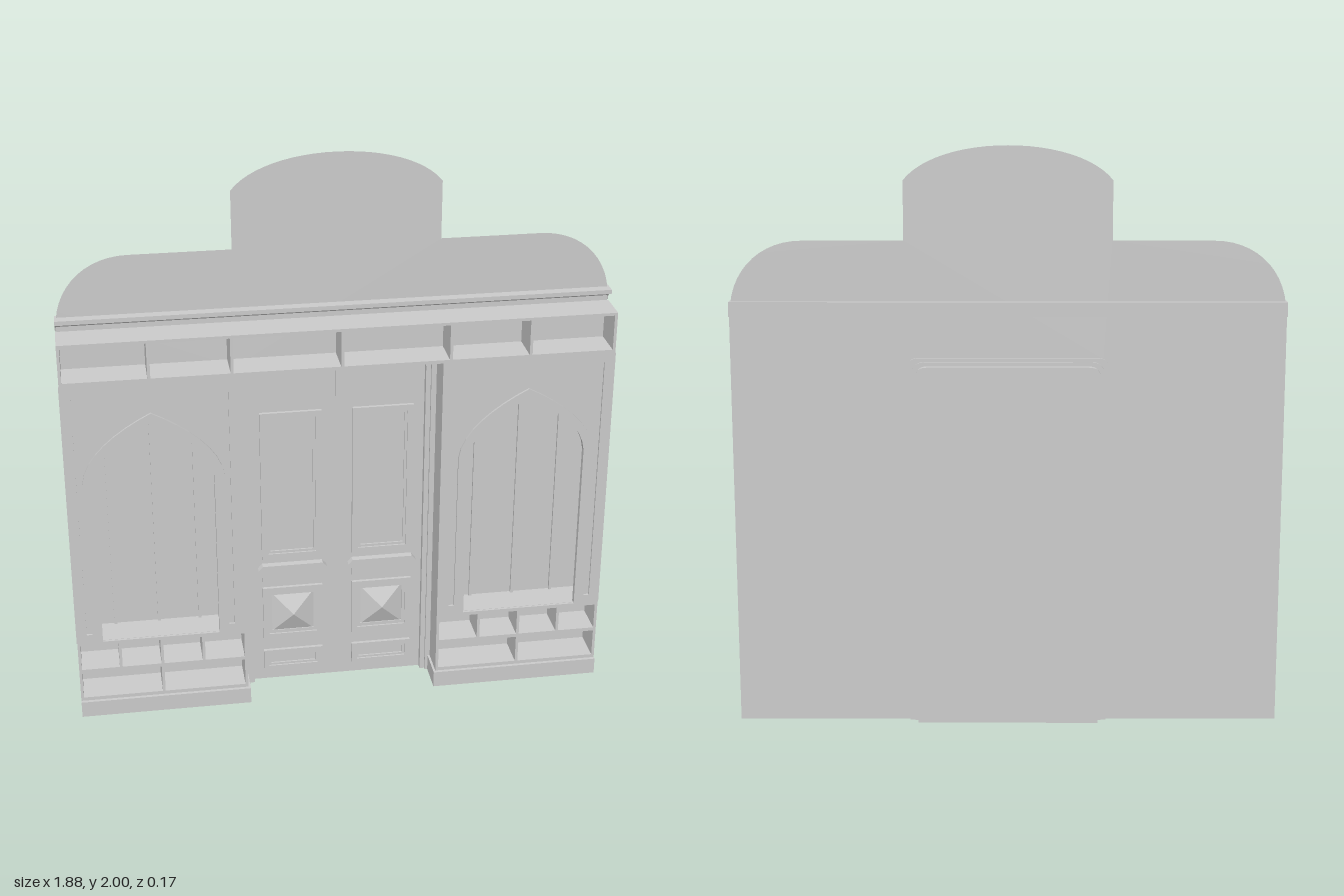
import * as THREE from 'three';

const mat = new THREE.MeshStandardMaterial({ color: 0xcccccc, flatShading: true, side: THREE.DoubleSide });
const BACK = -0.045, FRONT = 0.075;

function add(parent, name, geometry) {
  const m = new THREE.Mesh(geometry, mat);
  m.name = name;
  parent.add(m);
  return m;
}

// Box given by its limits on each axis
function box(parent, name, x0, x1, y0, y1, z0, z1) {
  const m = add(parent, name, new THREE.BoxGeometry(x1 - x0, y1 - y0, z1 - z0));
  m.position.set((x0 + x1) / 2, (y0 + y1) / 2, (z0 + z1) / 2);
  return m;
}

function rectPath(x0, x1, y0, y1, P = THREE.Shape) {
  return new P([[x0, y0], [x1, y0], [x1, y1], [x0, y1]].map(p => new THREE.Vector2(...p)));
}

// Rectangle with rounded upper corners
function roundTop(w, h, r, P = THREE.Shape) {
  const s = new P();
  s.moveTo(-w, 0); s.lineTo(w, 0); s.lineTo(w, h - r);
  s.quadraticCurveTo(w, h, w - r, h);
  s.lineTo(-w + r, h);
  s.quadraticCurveTo(-w, h, -w, h - r);
  s.lineTo(-w, 0);
  return s;
}

function extrude(parent, name, shape, z0, z1) {
  const m = add(parent, name, new THREE.ExtrudeGeometry(shape, { depth: z1 - z0, bevelEnabled: false, curveSegments: 8 }));
  m.position.z = z0;
  return m;
}

// Flat rectangular moulding with an open middle
function frame(parent, name, x0, x1, y0, y1, t, z0, z1) {
  const s = rectPath(x0, x1, y0, y1);
  s.holes.push(rectPath(x0 + t, x1 - t, y0 + t, y1 - t, THREE.Path));
  return extrude(parent, name, s, z0, z1);
}

// Pointed arch outline about x = cx
function archTo(s, cx, w, spring, apex) {
  s.lineTo(cx + w, spring);
  s.bezierCurveTo(cx + w * 0.96, spring + 0.1, cx + w * 0.5, apex - 0.06, cx, apex);
  s.bezierCurveTo(cx - w * 0.5, apex - 0.06, cx - w * 0.96, spring + 0.1, cx - w, spring);
}

function backWall(g) {
  // Thin wall and stepped crest, notched for the doorway
  const s = new THREE.Shape();
  s.moveTo(0.335, 0); s.lineTo(0.94, 0); s.lineTo(0.935, 1.47);
  s.bezierCurveTo(0.92, 1.6, 0.82, 1.685, 0.69, 1.685);
  s.lineTo(0.35, 1.685); s.lineTo(0.35, 1.885);
  s.bezierCurveTo(0.29, 1.96, 0.15, 2, 0, 2);
  s.bezierCurveTo(-0.15, 2, -0.29, 1.96, -0.35, 1.885);
  s.lineTo(-0.35, 1.685); s.lineTo(-0.69, 1.685);
  s.bezierCurveTo(-0.82, 1.685, -0.92, 1.6, -0.935, 1.47);
  s.lineTo(-0.94, 0); s.lineTo(-0.335, 0); s.lineTo(-0.335, 1.26);
  s.quadraticCurveTo(-0.335, 1.285, -0.31, 1.285);
  s.lineTo(0.31, 1.285);
  s.quadraticCurveTo(0.335, 1.285, 0.335, 1.26);
  add(g, 'backWall', new THREE.ShapeGeometry(s, 12)).position.z = BACK;

  // Cornice profile swept along x
  const p = [[-0.06, 1.43], [-0.05, 1.43], [-0.047, 1.445], [-0.038, 1.457], [-0.022, 1.463], [-0.01, 1.465], [-0.01, 1.48], [-0.06, 1.48]];
  const c = new THREE.ExtrudeGeometry(new THREE.Shape(p.map(([z, y]) => new THREE.Vector2(-z, y))), { depth: 1.88, bevelEnabled: false });
  c.rotateY(Math.PI / 2);
  c.translate(-0.94, 0, 0);
  add(g, 'cornice', c);
}

function topShelves(g) {
  box(g, 'topBoard', -0.94, 0.94, 1.42, 1.43, BACK, FRONT);
  box(g, 'lowerTopBoard', -0.94, 0.94, 1.283, 1.295, BACK, FRONT);
  for (const x of [-0.935, -0.645, -0.37, 0, 0.37, 0.645, 0.935])
    box(g, 'topDivider', x - 0.005, x + 0.005, 1.295, 1.42, BACK, FRONT);
}

function sideBay(side) {
  const g = new THREE.Group();
  g.name = side > 0 ? 'leftBay' : 'rightBay';
  const cx = side * 0.645;
  const X = (a, b) => side > 0 ? [a, b] : [-b, -a];

  box(g, 'plinth', ...X(0.335, 0.94), 0, 0.06, BACK, 0.087);
  box(g, 'outerSide', ...X(0.93, 0.94), 0.06, 1.283, BACK, FRONT);
  box(g, 'doorSide', ...X(0.343, 0.353), 0.06, 1.283, BACK, FRONT);

  // Two rows of pigeonholes
  for (const [y0, y1] of [[0.06, 0.073], [0.176, 0.189], [0.286, 0.299]])
    box(g, 'shelf', ...X(0.345, 0.938), y0, y1, BACK, FRONT);
  box(g, 'lowerDivider', cx - 0.005, cx + 0.005, 0.073, 0.176, BACK, FRONT);
  for (const dx of [-0.147, 0, 0.147])
    box(g, 'upperDivider', cx + dx - 0.005, cx + dx + 0.005, 0.189, 0.286, BACK, FRONT);

  // Front panel with a pointed opening
  const s = rectPath(...X(0.345, 0.938), 0.299, 1.283);
  const hole = new THREE.Path();
  hole.moveTo(cx - 0.205, 0.3); hole.lineTo(cx + 0.205, 0.3);
  archTo(hole, cx, 0.205, 0.92, 1.135);
  hole.lineTo(cx - 0.205, 0.3);
  s.holes.push(hole);
  extrude(g, 'archPanel', s, 0.055, 0.067);

  // Raised border and arch band that leave the spandrels sunk
  const border = rectPath(...X(0.345, 0.938), 0.299, 1.283);
  const open = new THREE.Path();
  open.moveTo(cx - 0.26, 0.33); open.lineTo(cx + 0.26, 0.33);
  open.lineTo(cx + 0.26, 1.25); open.lineTo(cx - 0.26, 1.25); open.lineTo(cx - 0.26, 0.33);
  border.holes.push(open);
  // The sill of the border is cut away across the opening
  border.holes.length = 0;
  const rim = new THREE.Shape();
  [[-0.297, 0.299], [-0.205, 0.299], [-0.205, 0.33], [-0.26, 0.33], [-0.26, 1.25], [0.26, 1.25], [0.26, 0.33],
    [0.205, 0.33], [0.205, 0.299], [0.297, 0.299], [0.297, 1.283], [-0.297, 1.283]]
    .forEach(([x, y], i) => i ? rim.lineTo(cx + x, y) : rim.moveTo(cx + x, y));
  extrude(g, 'panelBorder', rim, 0.067, FRONT);
  const band = new THREE.Shape();
  band.moveTo(cx + 0.205, 0.33); band.lineTo(cx + 0.24, 0.33);
  archTo(band, cx, 0.24, 0.92, 1.168);
  band.lineTo(cx - 0.24, 0.33); band.lineTo(cx - 0.205, 0.33); band.lineTo(cx - 0.205, 0.92);
  band.bezierCurveTo(cx - 0.197, 1.02, cx - 0.1025, 1.075, cx, 1.135);
  band.bezierCurveTo(cx + 0.1025, 1.075, cx + 0.197, 1.02, cx + 0.205, 0.92);
  extrude(g, 'archBand', band, 0.067, FRONT);

  // Upright slats on the rear of the niche
  for (const dx of [-0.155, 0, 0.145])
    box(g, 'slat', cx + dx - 0.005, cx + dx + 0.005, 0.299, 1.2, BACK, BACK + 0.01);
  return g;
}

function doorLeaf(side) {
  const g = new THREE.Group();
  g.name = side > 0 ? 'leftDoorLeaf' : 'rightDoorLeaf';
  const cx = side * 0.162, z = -0.062;
  const panel = (name, w, y0, y1, t, z0, z1) => frame(g, name, cx - w, cx + w, y0, y1, t, z0, z1);

  panel('upperMoulding', 0.108, 0.505, 1.08, 0.022, z, z + 0.012);
  panel('upperInnerMoulding', 0.086, 0.527, 1.058, 0.009, z, z + 0.006);

  // Ledge with pointed ends over a notched bracket
  const ledge = new THREE.Shape([[-0.123, 0.468], [-0.108, 0.45], [0.108, 0.45], [0.123, 0.468], [0.108, 0.485], [-0.108, 0.485]]
    .map(([x, y]) => new THREE.Vector2(cx + x, y)));
  extrude(g, 'ledge', ledge, z, z + 0.025);
  const bracket = new THREE.Shape([[-0.108, 0.415], [-0.06, 0.415], [-0.052, 0.44], [0.052, 0.44], [0.06, 0.415], [0.108, 0.415], [0.108, 0.45], [-0.108, 0.45]]
    .map(([x, y]) => new THREE.Vector2(cx + x, y)));
  extrude(g, 'bracket', bracket, z, z + 0.014);

  // Pyramid panel
  panel('squareMoulding', 0.108, 0.175, 0.387, 0.02, z, z + 0.012);
  panel('squareInnerMoulding', 0.088, 0.195, 0.367, 0.012, z, z + 0.006);
  const pyr = new THREE.ConeGeometry(Math.SQRT2, 1, 4).rotateY(Math.PI / 4).rotateX(Math.PI / 2);
  const p = add(g, 'pyramid', pyr);
  p.scale.set(0.076, 0.08, 0.03);
  p.position.set(cx, 0.281, z + 0.015);

  panel('kickMoulding', 0.108, 0.04, 0.125, 0.019, z, z + 0.012);
  panel('kickInnerMoulding', 0.089, 0.059, 0.106, 0.008, z, z + 0.006);
  return g;
}

function doorway(g) {
  extrude(g, 'doorSlab', roundTop(0.314, 1.262, 0.04), -0.087, -0.062);
  for (const [name, w, h, w2, h2, z0, z1] of [
    ['outerDoorFrame', 0.343, 1.288, 0.325, 1.275, -0.053, -0.03],
    ['innerDoorFrame', 0.325, 1.275, 0.308, 1.262, -0.062, -0.04]]) {
    const s = new THREE.Shape();
    const r = 0.04;
    s.moveTo(w2, 0); s.lineTo(w, 0); s.lineTo(w, h - r);
    s.quadraticCurveTo(w, h, w - r, h); s.lineTo(r - w, h);
    s.quadraticCurveTo(-w, h, -w, h - r); s.lineTo(-w, 0);
    s.lineTo(-w2, 0); s.lineTo(-w2, h2 - r);
    s.quadraticCurveTo(-w2, h2, r - w2, h2); s.lineTo(w2 - r, h2);
    s.quadraticCurveTo(w2, h2, w2, h2 - r);
    extrude(g, name, s, z0, z1);
  }
  box(g, 'meetingStrip', -0.003, 0.003, 0, 1.26, -0.062, -0.06);
}

export function createModel() {
  const g = new THREE.Group();
  g.name = 'doorwayFacade';
  backWall(g);
  topShelves(g);
  doorway(g);
  for (const side of [-1, 1]) g.add(sideBay(side), doorLeaf(side));
  return g;
}
